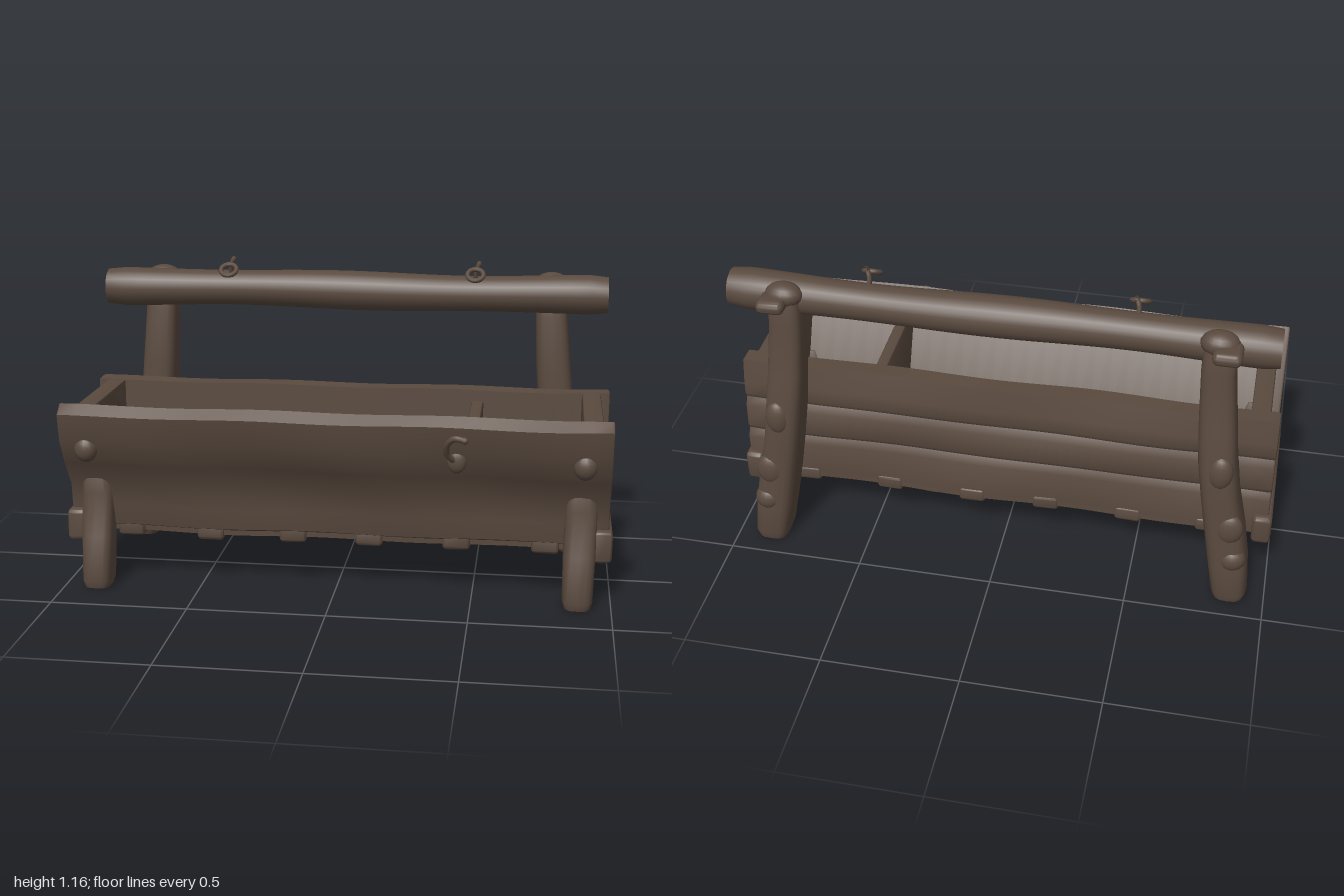
import * as THREE from 'three';
import { toCreasedNormals } from 'three/addons/utils/BufferGeometryUtils.js';
import { RoundedBoxGeometry } from 'three/addons/geometries/RoundedBoxGeometry.js';

export function createModel() {
  const group = new THREE.Group();
  const wood = new THREE.MeshStandardMaterial({ color: 0x5a4a3f });
  wood.name = 'dark wood';

  function add(name, geometry) {
    const mesh = new THREE.Mesh(geometry, wood);
    mesh.name = name;
    group.add(mesh);
    return mesh;
  }

  // Gentle hand-hewn waviness
  function hew(geo, amount) {
    const p = geo.attributes.position;
    for (let i = 0; i < p.count; i++) {
      const x = p.getX(i), y = p.getY(i), z = p.getZ(i);
      p.setY(i, y + amount * Math.sin(x * 9 + z * 11));
      p.setZ(i, z + amount * Math.sin(x * 7 + y * 13 + 1));
    }
    return toCreasedNormals(geo, 0.7);
  }

  // Board with a [z, y] profile, running along x around centre cx
  function board(name, profile, length, cx = 0, steps = 1) {
    const b = 0.008;
    const shape = new THREE.Shape(profile.map(([z, y]) => new THREE.Vector2(z, y)));
    const geo = new THREE.ExtrudeGeometry(shape, {
      depth: length - 2 * b, steps, bevelEnabled: true,
      bevelSize: b, bevelThickness: b, bevelOffset: -b, bevelSegments: 2,
    });
    geo.translate(0, 0, -(length - 2 * b) / 2);
    geo.rotateY(-Math.PI / 2);
    geo.translate(cx, 0, 0);
    return add(name, hew(geo, steps > 1 ? 0.003 : 0));
  }

  function block(name, w, h, d, x, y, z, r = 0.015) {
    return add(name, hew(new RoundedBoxGeometry(w, h, d, 3, r).translate(x, y, z), 0.003));
  }

  // Squarish timber lofted through rings [x, y, z, halfWidth, halfDepth], top first
  function timber(name, rings, side) {
    const n = rings.length - 1;
    const geo = new THREE.CylinderGeometry(1, 1, 1, 20, n);
    const p = geo.attributes.position;
    for (let i = 0; i < p.count; i++) {
      const [x, y, z, w, d] = rings[Math.round((0.5 - p.getY(i)) * n)];
      const square = (v) => Math.sign(v) * Math.pow(Math.abs(v), 0.6);
      p.setXYZ(i, side * x + square(p.getX(i)) * w, y, z + square(p.getZ(i)) * d);
    }
    return add(name, toCreasedNormals(geo, 0.75));
  }

  function tube(name, points, radius) {
    const curve = new THREE.CatmullRomCurve3(points.map((q) => new THREE.Vector3(...q)));
    add(name, new THREE.TubeGeometry(curve, 24, radius, 8));
    for (const end of [points[0], points[points.length - 1]]) {
      add(name + 'End', new THREE.SphereGeometry(radius * 1.15, 10, 8).translate(...end));
    }
  }

  // Trough body
  board('frontBoard', [
    [0.13, 0.27], [0.19, 0.21], [0.235, 0.23], [0.252, 0.31], [0.258, 0.385],
    [0.325, 0.485], [0.337, 0.51], [0.372, 0.58], [0.39, 0.68], [0.352, 0.713],
    [0.322, 0.69],
  ], 1.97, 0, 30);
  board('backBoard', [
    [-0.25, 0.22], [-0.15, 0.22], [-0.155, 0.69], [-0.22, 0.692], [-0.238, 0.6],
    [-0.243, 0.55], [-0.232, 0.53], [-0.248, 0.5], [-0.252, 0.41], [-0.24, 0.39], [-0.256, 0.36],
  ], 1.97, 0, 30);
  board('floor', [
    [-0.25, 0.2], [0.21, 0.2], [0.215, 0.28], [-0.25, 0.28],
  ], 1.9, 0, 30);

  // End panels and inner divider share the trough section
  const section = (top) => [
    [-0.18, 0.24], [0.16, 0.24], [0.16 + (top - 0.29) * 0.48, top], [-0.18, top],
  ];
  for (const s of [-1, 1]) board('endPanel', section(0.69), 0.07, s * 0.915);
  board('divider', section(0.65), 0.045, 0.49);

  // Slats under the floor
  for (const x of [-0.77, -0.47, -0.16, 0.12, 0.44, 0.76]) {
    block('floorSlat', 0.1, 0.06, 0.48, x, 0.21, -0.015);
  }
  block('floorPeg', 0.07, 0.05, 0.08, 0.28, 0.205, -0.2);

  for (const s of [-1, 1]) {
    block('endBeam', 0.07, 0.12, 0.56, s * 0.963, 0.232, 0, 0.018);

    // Splayed front legs
    timber('frontLeg', [
      [0.885, 0.45, 0.235, 0.03, 0.03],
      [0.885, 0.42, 0.235, 0.05, 0.045],
      [0.885, 0.36, 0.225, 0.058, 0.05],
      [0.882, 0.2, 0.26, 0.058, 0.06],
      [0.88, 0.04, 0.285, 0.055, 0.067],
      [0.88, 0.012, 0.285, 0.047, 0.058],
    ], s);

    // Tall back posts
    timber('backPost', [
      [0.76, 1.09, -0.315, 0.045, 0.04],
      [0.76, 1.06, -0.315, 0.058, 0.05],
      [0.758, 0.96, -0.308, 0.06, 0.06],
      [0.772, 0.75, -0.318, 0.066, 0.072],
      [0.785, 0.6, -0.333, 0.068, 0.086],
      [0.805, 0.45, -0.335, 0.068, 0.085],
      [0.832, 0.3, -0.338, 0.072, 0.088],
      [0.855, 0.16, -0.347, 0.072, 0.085],
      [0.87, 0.04, -0.358, 0.066, 0.08],
      [0.87, 0.012, -0.36, 0.056, 0.07],
    ], s);

    // Branch stubs and bark swellings on the posts
    const knot = (name, x, y, z, rx, ry, rz) =>
      add(name, new THREE.SphereGeometry(1, 16, 12).scale(rx, ry, rz).translate(s * x, y, z));
    knot('postHead', 0.755, 1.075, -0.325, 0.068, 0.045, 0.05);
    block('forkStub', 0.1, 0.05, 0.11, s * 0.785, 1.06, -0.365, 0.022);
    knot('postKnot', 0.8, 0.585, -0.4, 0.045, 0.07, 0.032);
    knot('postKnot', 0.85, 0.34, -0.405, 0.05, 0.065, 0.03);
    knot('postKnot', 0.87, 0.2, -0.4, 0.05, 0.05, 0.042);

    // Pegs through the front board
    const peg = knot('frontPeg', 0, 0, 0, 0.042, 0.048, 0.035);
    peg.position.set(s * 0.89, 0.55, 0.355);

    // Ring hook on the rail
    const hook = new THREE.Group();
    hook.name = 'ringHook';
    const ring = new THREE.Mesh(new THREE.TorusGeometry(0.03, 0.009, 8, 20), wood);
    ring.name = 'ring';
    ring.rotation.x = -0.95;
    ring.position.set(0, 0.018, 0.055);
    hook.add(ring);
    const stem = new THREE.Mesh(new THREE.TubeGeometry(new THREE.CatmullRomCurve3([
      new THREE.Vector3(0, -0.02, 0), new THREE.Vector3(0, 0.025, 0.012),
      new THREE.Vector3(0.01, 0.05, 0.02), new THREE.Vector3(0.012, 0.056, 0.005),
    ]), 14, 0.009, 8), wood);
    stem.name = 'stem';
    hook.add(stem);
    hook.position.set(s * 0.47, 1.105, -0.252);
    group.add(hook);
  }

  // Round top rail with slight taper and waviness
  const rail = new THREE.CylinderGeometry(1, 1, 1.925, 24, 28);
  const rp = rail.attributes.position;
  for (let i = 0; i < rp.count; i++) {
    const t = rp.getY(i);
    const end = Math.abs(t) > 0.95 ? 0.9 : 1;
    const r = (0.071 + 0.004 * Math.cos(t * 6.5)) * end;
    rp.setX(i, rp.getX(i) * r + 0.003 * Math.sin(t * 5));
    rp.setZ(i, rp.getZ(i) * r);
  }
  rail.rotateZ(-Math.PI / 2);
  rail.translate(0.003, 1.043, -0.268);
  add('topRail', toCreasedNormals(rail, 0.8));

  // Curled hook on the front board
  tube('frontHook', [
    [0.475, 0.65, 0.435], [0.44, 0.655, 0.432], [0.415, 0.63, 0.415],
    [0.412, 0.59, 0.392], [0.43, 0.565, 0.372], [0.455, 0.535, 0.345],
  ], 0.011);
  add('hookBase', new THREE.SphereGeometry(1, 14, 10).scale(0.035, 0.045, 0.022).translate(0.445, 0.555, 0.355));

  return group;
}
